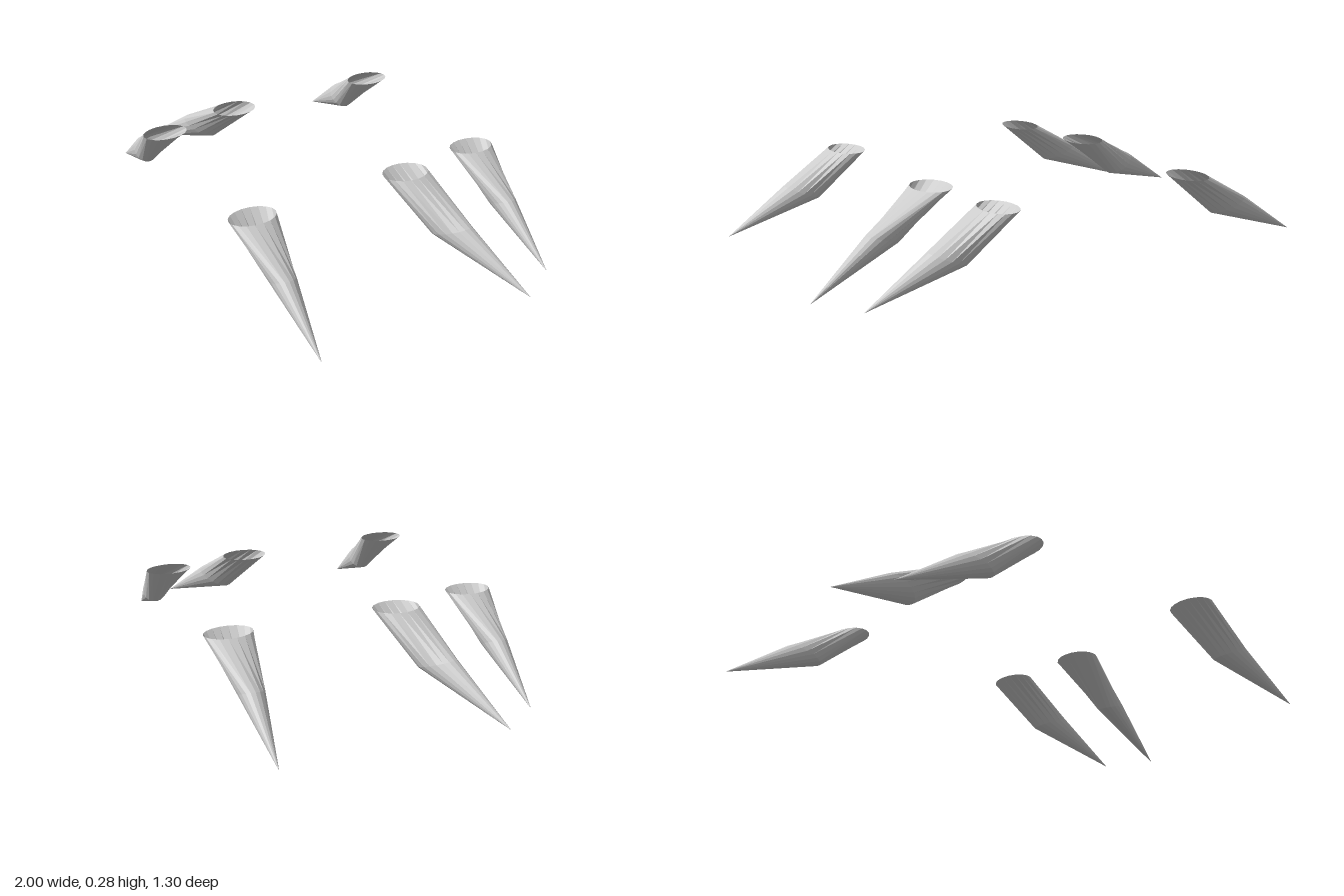
import * as THREE from 'three';

const SIDES = 18;
const TOP_Y = 0.285;
const material = new THREE.MeshStandardMaterial({ color: 0xcccccc, flatShading: true, side: THREE.DoubleSide });

// Open-topped bent horn: level rim, tilted knee ring, pointed tip.
// Local x runs outward, local z towards the tip's side; sx and sz mirror it.
function legGeometry(reach, rimX, sx, sz) {
  const k = reach / 0.49;
  const rings = [
    { c: [0, TOP_Y, 0], u: [rimX, 0, 0], v: [0, 0, 0.09] },
    { c: [0.2 * k, 0.14, 0.022], u: [0.06 * k, 0.025, 0], v: [0.02, 0.012, 0.052] },
    { c: [reach, 0, 0.085], u: [0.001, 0, 0], v: [0, 0, 0.001] },
  ];
  const positions = [];
  const index = [];
  for (const { c, u, v } of rings) {
    for (let i = 0; i < SIDES; i++) {
      const a = (i / SIDES) * Math.PI * 2;
      const p = c.map((value, n) => value + Math.cos(a) * u[n] + Math.sin(a) * v[n]);
      positions.push(p[0] * sx, p[1], p[2] * sz);
    }
  }
  for (let r = 0; r < rings.length - 1; r++) {
    for (let i = 0; i < SIDES; i++) {
      const a = r * SIDES + i;
      const b = r * SIDES + ((i + 1) % SIDES);
      const c = a + SIDES;
      const d = b + SIDES;
      // keep faces outward when mirrored
      if (sx * sz > 0) index.push(a, b, c, b, d, c);
      else index.push(a, c, b, b, c, d);
    }
  }
  const geometry = new THREE.BufferGeometry();
  geometry.setAttribute('position', new THREE.Float32BufferAttribute(positions, 3));
  geometry.setIndex(index);
  geometry.computeVertexNormals();
  return geometry;
}

export function createModel() {
  const model = new THREE.Group();
  model.name = 'legs';

  // name, rim centre x and z, outward reach, rim half width, side, tip side
  const legs = [
    ['leftFrontLeg', 0.39, 0.56, 0.49, 0.065, 1, 1],
    ['leftMiddleLeg', 0.437, -0.077, 0.563, 0.072, 1, -1],
    ['leftBackLeg', 0.41, -0.427, 0.495, 0.065, 1, 1],
    ['rightFrontLeg', -0.395, 0.425, 0.49, 0.065, -1, -1],
    ['rightMiddleLeg', -0.437, 0.075, 0.563, 0.072, -1, 1],
    ['rightBackLeg', -0.375, -0.565, 0.495, 0.065, -1, -1],
  ];
  for (const [name, x, z, reach, rimX, sx, sz] of legs) {
    const leg = new THREE.Mesh(legGeometry(reach, rimX, sx, sz), material);
    leg.name = name;
    leg.position.set(x, 0, z);
    model.add(leg);
  }
  return model;
}
